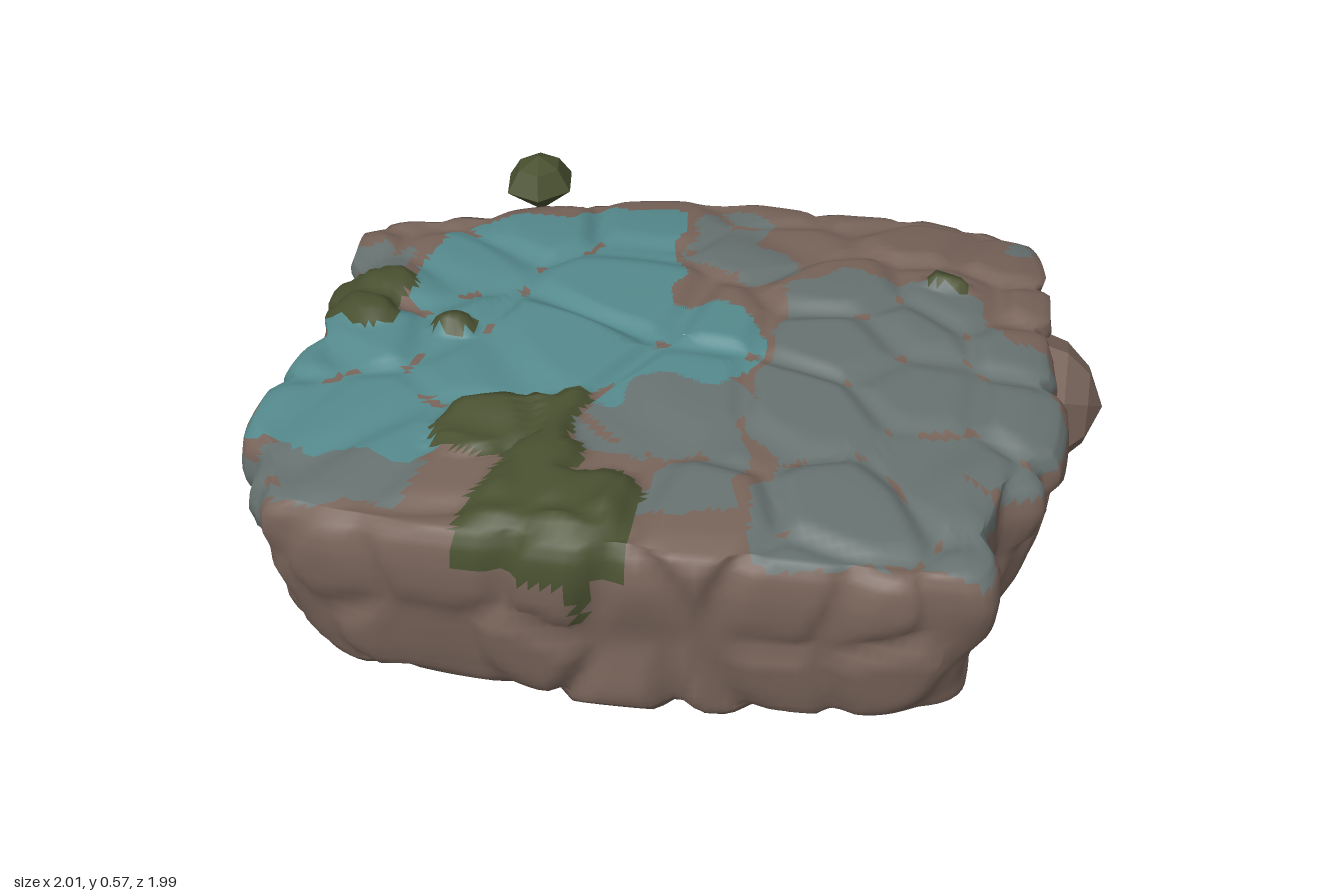
import * as THREE from 'three';

const material = (name, color) => {
  const m = new THREE.MeshStandardMaterial({ color });
  m.name = name;
  return m;
};

// small seeded random
let seed = 11;
const rand = () => (seed = (seed * 16807) % 2147483647) / 2147483647;

const { smoothstep: smooth, lerp } = THREE.MathUtils;
const CX = -0.03, CZ = 0.16;
const STONE = 0, TEAL = 1, GREY = 2, MOSS = 3;

// slab outline seen from above, x and z
const outline = [
  [-0.95, -0.3], [-0.68, -0.37], [-0.3, -0.53], [0, -0.59], [0.25, -0.59], [0.52, -0.65], [0.76, -0.62],
  [0.84, -0.3], [0.87, 0.02], [0.9, 0.22], [0.86, 0.48], [0.77, 0.6], [0.75, 0.86], [0.3, 0.95],
  [-0.22, 0.98], [-0.85, 0.9], [-0.94, 0.75], [-1, 0.58], [-0.96, 0.2], [-0.97, -0.1]
];

// coloured patches: rounded blocks as x, z, half width, half depth
const mossBlocks = [[-0.43, 0.58, 0.11, 0.1], [-0.27, 0.58, 0.06, 0.13], [-0.26, 0.72, 0.09, 0.13], [-0.2, 0.83, 0.2, 0.12],
  [-0.87, 0.08, 0.13, 0.13], [0.57, -0.24, 0.06, 0.04], [-0.59, 0.19, 0.07, 0.03]];
const tealBlocks = [[-0.42, -0.09, 0.33, 0.27], [-0.26, -0.35, 0.14, 0.12], [-0.1, 0.19, 0.26, 0.16],
  [-0.3, 0.3, 0.2, 0.18], [-0.7, 0.43, 0.28, 0.27]];
const greyBlocks = [[0.46, 0.2, 0.28, 0.43], [0.75, 0.28, 0.14, 0.28], [0.49, 0.74, 0.27, 0.18], [-0.01, 0.49, 0.2, 0.16],
  [0.08, 0.7, 0.1, 0.13], [0.0, -0.33, 0.08, 0.18], [0.13, -0.21, 0.07, 0.08], [-0.74, 0.79, 0.23, 0.1],
  [-0.9, -0.09, 0.1, 0.08], [0.76, -0.54, 0.04, 0.06]];

// jittered stone centres that divide the slab into lumps
const stones = [];
for (const y of [0.1, 0.4])
  for (let x = -1; x <= 1; x += 0.25)
    for (let z = -0.7; z <= 1.05; z += 0.25)
      stones.push({ x: x + (rand() - 0.5) * 0.24, y: y + (rand() - 0.5) * 0.16, z: z + (rand() - 0.5) * 0.24, lift: rand() });

function lump(x, y, z) {
  const near = [[9], [9], [9]];
  for (const s of stones) {
    const d = Math.hypot(x - s.x, y - s.y, z - s.z);
    if (d < near[2][0]) {
      near[2] = [d, s];
      near.sort((a, b) => a[0] - b[0]);
    }
  }
  return { crack: smooth(near[1][0] - near[0][0], 0, 0.08), corner: near[2][0] - near[0][0], lift: near[0][1].lift };
}

// how deep a point lies inside a patch, above 0 when inside, with wavy edges
const wobble = (x, z) => 0.014 * (Math.sin(23 * x + 9 * z) + Math.sin(31 * z - 13 * x + 1));
function depth(blocks, x, z) {
  const u = x + wobble(x, z), v = z + wobble(z, x);
  return Math.max(...blocks.map(([px, pz, rx, rz]) => 1 - ((u - px) / rx) ** 4 - ((v - pz) / rz) ** 4));
}

function paint(x, y, z) {
  // moss spills over the front rim and trickles down
  if (y > 0.28 && z > 0.85 && Math.abs(x + 0.12) < 0.1 * (y - 0.25) + 0.006) return MOSS;
  if (y > 0.41 && depth(mossBlocks, x, Math.min(z, 0.88)) > 0) return MOSS;
  // grey flank on the right side
  if (y < 0.41) return x < -0.88 && y > 0.18 + wobble(y * 3, z) && z > 0.3 && z < 0.82 ? GREY : STONE;
  if ((z > 0.86 && y < 0.47) || lump(x, y, z).corner < 0.018) return STONE;
  if (depth(tealBlocks, x, z) > 0) return TEAL;
  return depth(greyBlocks, x, z) > 0 ? GREY : STONE;
}

const topHeight = (x, z) =>
  0.535 - 0.075 * x * x - 0.025 * x - 0.18 * Math.min(0, z) ** 2 - 0.035 * Math.max(0, z) ** 2;

// rings run from the top centre over the rim and down to the bottom centre
function slabGeometry() {
  const N = 240, TOP = 44, SIDE = 20, BOTTOM = 22;
  const curve = new THREE.CatmullRomCurve3(outline.map(([x, z]) => new THREE.Vector3(x, 0, z)), true);
  const rim = curve.getSpacedPoints(N).slice(0, N);
  const profile = [[0.965, 1], [0.99, 0.93], [1, 0.8], [0.99, 0.6], [0.97, 0.4], [0.95, 0.2], [0.93, 0.07], [0.89, 0]];
  // s is the usual width and back the width where the rear wall flares out
  const rings = [];
  for (let i = 0; i <= TOP; i++) {
    const s = 0.002 + (0.963 * i) / TOP;
    rings.push({ s, back: s / 0.965, h: 1, up: 1 - smooth(s, 0.9, 0.965) });
  }
  for (let i = 1; i <= SIDE; i++) {
    const t = (i / SIDE) * (profile.length - 1), k = Math.min(Math.floor(t), profile.length - 2);
    const mix = (n) => lerp(profile[k][n], profile[k + 1][n], t - k);
    rings.push({ s: mix(0), back: 0.87 + 0.13 * mix(1), h: mix(1), up: 0 });
  }
  for (let i = 1; i <= BOTTOM; i++) {
    const s = 0.89 - (0.888 * i) / BOTTOM;
    rings.push({ s, back: (s * 0.87) / 0.89, h: 0, up: -smooth(0.89 - s, 0, 0.06) });
  }

  const pos = [];
  for (const { s, back, h, up } of rings)
    for (const p of rim) {
      const w = lerp(s, back, smooth(-p.z, 0, 0.4));
      const x = CX + (p.x - CX) * w, z = CZ + (p.z - CZ) * w;
      const y = h * topHeight(x, z) + (h === 0 ? 0.035 * (1 - (s / 0.89) ** 2) : 0);
      const { crack, lift } = lump(x, y, z);
      const bump = up > 0 ? 0.012 * (crack - 1) + 0.02 * crack * lift : 0.025 * (crack - 1) + 0.03 * crack * (lift - 0.35);
      const moss = up > 0 ? 0.03 * smooth(depth(mossBlocks, x, z), 0, 0.7) : 0;
      const out = ((1 - Math.abs(up)) * bump) / Math.hypot(p.x - CX, p.z - CZ);
      pos.push(x + (p.x - CX) * out, Math.max(0, y + up * (bump * (up < 0 ? 0.7 : 1) + moss)), z + (p.z - CZ) * out);
    }

  // sort the faces by colour
  const faces = [[], [], [], []];
  const mid = (t, n) => (pos[t[0] * 3 + n] + pos[t[1] * 3 + n] + pos[t[2] * 3 + n]) / 3;
  for (let i = 0; i < rings.length - 1; i++)
    for (let j = 0; j < N; j++) {
      const k = (j + 1) % N, a = i * N + j, b = i * N + k, c = b + N, d = a + N;
      for (const t of [[a, b, c], [a, c, d]])
        faces[i < TOP + SIDE ? paint(mid(t, 0), mid(t, 1), mid(t, 2)) : STONE].push(...t);
    }
  const geometry = new THREE.BufferGeometry();
  geometry.setAttribute('position', new THREE.Float32BufferAttribute(pos, 3));
  geometry.setIndex(faces.flat());
  let start = 0;
  faces.forEach((f, i) => {
    geometry.addGroup(start, f.length, i);
    start += f.length;
  });
  geometry.computeVertexNormals();
  return geometry;
}

// small faceted rock turned from a profile of radius and height
function smallRock(profile, sides, turn) {
  const lathe = new THREE.LatheGeometry(profile.map(([r, y]) => new THREE.Vector2(r, y)), sides, turn);
  const flat = lathe.toNonIndexed();
  flat.computeVertexNormals();
  return flat;
}

export function createModel() {
  const group = new THREE.Group();
  const stone = material('brown stone', 0x78645a), teal = material('teal glaze', 0x558a8d);
  const grey = material('grey slate', 0x687371), moss = material('dark moss', 0x495030);
  const add = (name, geometry, mat) => {
    const mesh = new THREE.Mesh(geometry, mat);
    mesh.name = name;
    group.add(mesh);
    return mesh;
  };

  add('rockSlab', slabGeometry(), [stone, teal, grey, moss]);

  // wedge of rock jutting from the left side
  const wedge = smallRock([[0.2, 0.78], [0.16, 0.9], [0.1, 0.96], [0, 1]], 7, 0.3);
  wedge.rotateZ(-Math.PI / 2);
  add('juttingRock', wedge, stone).position.set(0, 0.27, -0.08);

  // loose mossy pebble behind the slab
  const pebble = smallRock([[0, 0.22], [0.112, 0.31], [0.07, 0.37], [0, 0.4]], 6, 0.2);
  pebble.scale(0.93, 1, 1.05);
  add('loosePebble', pebble, moss).position.set(-0.65, 0, -0.885);
  return group;
}
